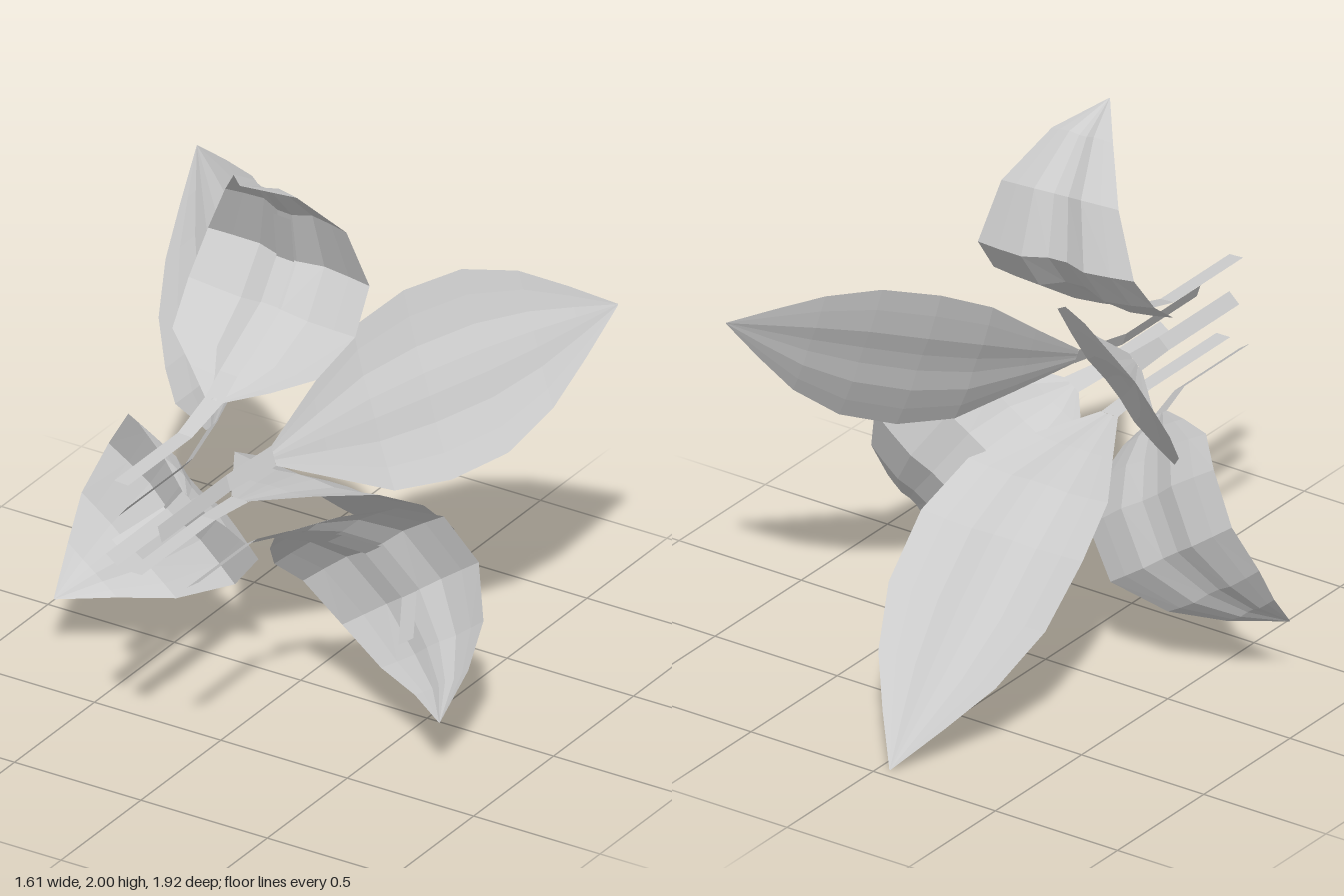
import * as THREE from 'three';

const material = new THREE.MeshStandardMaterial({ color: 0xcccccc, flatShading: true, side: THREE.DoubleSide });

// Surface lofted through rows of points; every row has the same number of points
function loft(name, rows) {
  const n = rows[0].length;
  const index = [];
  for (let r = 0; r < rows.length - 1; r++) {
    for (let c = 0; c < n - 1; c++) {
      const a = r * n + c, d = a + n;
      index.push(a, a + 1, d + 1, a, d + 1, d);
    }
  }
  const indexed = new THREE.BufferGeometry().setFromPoints(rows.flat()).setIndex(index);
  const geometry = indexed.toNonIndexed();
  geometry.computeVertexNormals();
  const mesh = new THREE.Mesh(geometry, material);
  mesh.name = name;
  return mesh;
}

// Half width of the blade at each row, from the neck to the tip
const WIDTHS = [0.035, 0.16, 0.285, 0.33, 0.32, 0.24, 0.125, 0.002];
// Columns of the blade, from edge to edge
const ACROSS = [-1, -0.72, -0.4, -0.12, 0.12, 0.4, 0.72, 1];

// One leaf: stem from its front end to its bend, then a blade along the spine.
// ridge raises the blade's centre; ribRows is how far the stem runs along the
// blade, and ribPush lifts the end of that midrib off it.
function makeLeaf(name, { side, stem, bendZ, spine, ridge = 0.012, ribRows = 1, ribPush = 0 }) {
  const curve = new THREE.CatmullRomCurve3(spine.map((p) => new THREE.Vector3(...p)));
  const points = curve.getPoints(WIDTHS.length - 1);
  const across = new THREE.Vector3(...side).normalize();
  const at = (i, u, height) => {
    const tangent = points[Math.min(i + 1, 7)].clone().sub(points[Math.max(i - 1, 0)]);
    const normal = across.clone().cross(tangent).normalize();
    return points[i].clone().addScaledVector(across, u).addScaledVector(normal, height);
  };

  // Slightly cupped blade
  const lift = (u) => 0.025 * (u * u - 0.5) + (Math.abs(u) < 0.2 ? ridge : 0);
  const blade = WIDTHS.map((w, i) => ACROSS.map((u) => at(i, u * w, lift(u) * w / 0.32)));

  // Flat stem, running on as a midrib where the leaf has one
  const start = new THREE.Vector3(...stem);
  const bend = new THREE.Vector3(stem[0], stem[1], bendZ);
  const strip = [start, bend].map((p) => [-0.028, 0.028].map((u) => p.clone().addScaledVector(across, u)));
  for (let i = 0; i < ribRows; i++) {
    const height = (i ? ridge : 0) + (i === 5 ? ribPush : 0);
    strip.push([at(i, -0.035, height), at(i, 0.035, height)]);
  }

  const leaf = new THREE.Group();
  leaf.name = name;
  leaf.add(loft('blade', blade), loft('stem', strip));
  return leaf;
}

export function createModel() {
  const model = new THREE.Group();
  model.name = 'leafCluster';

  // Top leaf curls over toward the front
  model.add(makeLeaf('topLeaf', {
    side: [1, -0.06, 0], stem: [-0.11, 1.15, 0.95], bendZ: 0.55, ridge: 0.035, ribRows: 6,
    spine: [[-0.11, 1.2, 0.37], [-0.1, 1.24, 0.28], [-0.1, 1.29, 0.19], [-0.09, 1.4, 0.03],
      [-0.09, 1.55, -0.08], [-0.06, 1.77, -0.01], [-0.05, 1.93, 0.14], [-0.05, 2, 0.3]],
  }));

  // Three nearly straight leaves spread toward the back
  model.add(makeLeaf('bottomLeaf', {
    side: [1, 0, 0], stem: [-0.05, 0.83, 0.96], bendZ: 0.5,
    spine: [[-0.05, 0.81, 0.3], [-0.04, 0.69, -0.16], [-0.04, 0.3, -0.63], [-0.04, 0, -0.96]],
  }));
  model.add(makeLeaf('upperLeftLeaf', {
    side: [0.38, -0.9, 0.15], stem: [0.03, 0.985, 0.93], bendZ: 0.5,
    spine: [[0.07, 1, 0.28], [0.27, 1.08, -0.13], [0.56, 1.21, -0.49], [0.8, 1.33, -0.72]],
  }));
  model.add(makeLeaf('upperRightLeaf', {
    side: [0.62, 0.77, -0.15], stem: [-0.13, 1.015, 0.91], bendZ: 0.5,
    spine: [[-0.17, 1.05, 0.28], [-0.33, 1.15, -0.08], [-0.58, 1.37, -0.37], [-0.79, 1.53, -0.6]],
  }));

  // Two lower leaves droop and curl forward at the tip, one mirroring the other
  const droop = [[0.19, 0.8, 0.42], [0.22, 0.78, 0.33], [0.28, 0.745, 0.23], [0.36, 0.665, 0.11],
    [0.48, 0.5, 0.06], [0.61, 0.37, 0.13], [0.7, 0.29, 0.22], [0.77, 0.22, 0.35]];
  const lower = { bendZ: 0.55, ridge: 0.02, ribRows: 6, ribPush: 0.12 };
  model.add(makeLeaf('lowerLeftLeaf', {
    ...lower, side: [-0.81, -0.58, 0.05], stem: [0.15, 0.82, 0.91], spine: droop,
  }));
  model.add(makeLeaf('lowerRightLeaf', {
    ...lower, side: [-0.81, 0.58, -0.05], stem: [-0.16, 0.835, 0.93],
    spine: droop.map(([x, y, z]) => [-x, y + 0.015, z - 0.025]),
  }));
  return model;
}
